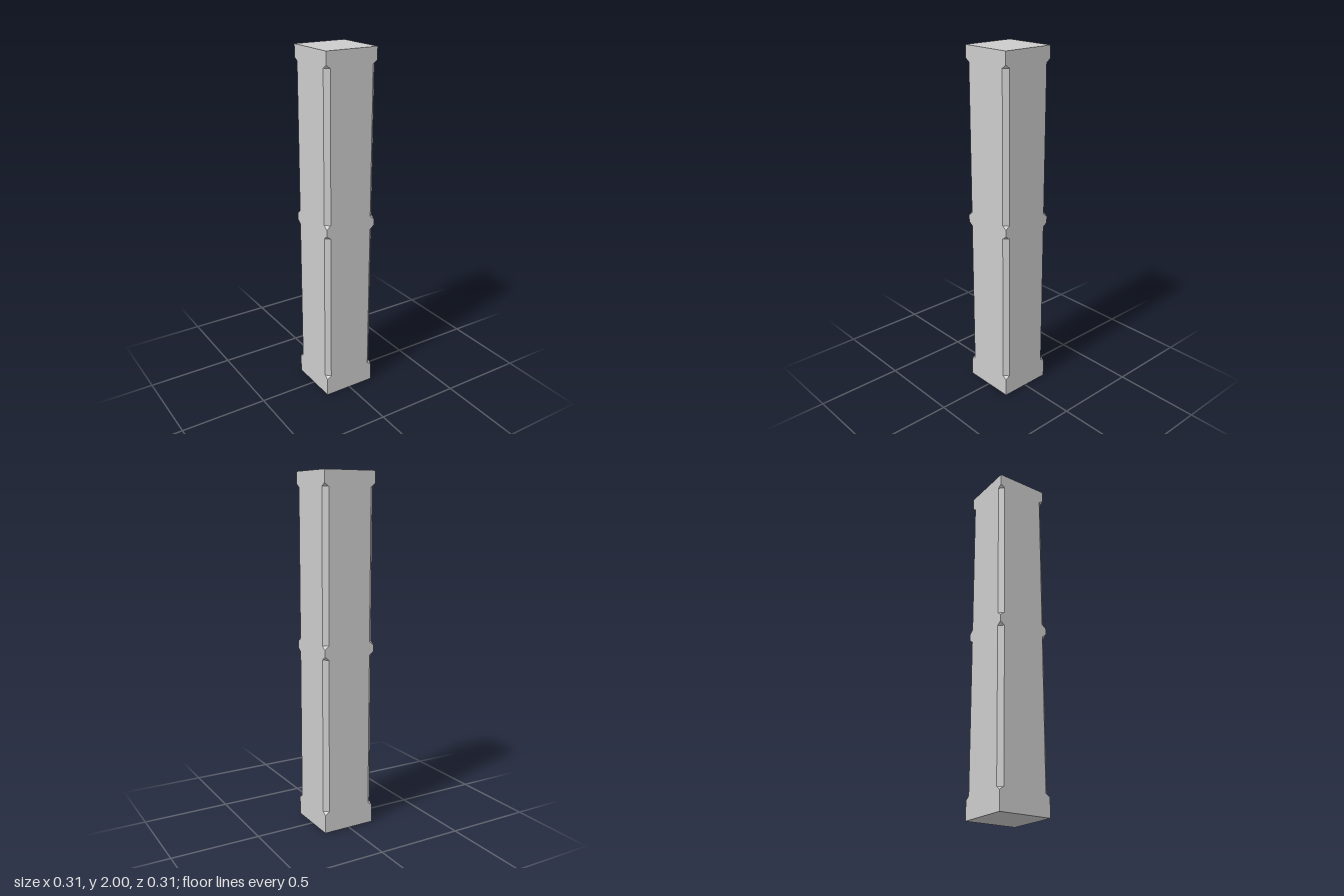
import * as THREE from 'three';

const HALF = 0.155;     // half width of the square post
const CHAMFER = 0.026;  // corner cut, measured along each face

// Height and corner cut of each cross-section, bottom to top
const SECTIONS = [
  [0, 0],
  [0.106, 0], [0.124, CHAMFER], [1.0, CHAMFER], [1.02, 0],    // lower stopped chamfer
  [1.058, 0], [1.078, CHAMFER], [1.914, CHAMFER], [1.932, 0], // upper stopped chamfer
  [2, 0],
];

// Eight-point ring: each corner is split in two by the cut
function ring([y, cut]) {
  const points = [];
  for (let k = 0; k < 4; k++) {
    for (const [px, pz] of [[HALF, HALF - cut], [HALF - cut, HALF]]) {
      let x = px, z = pz;
      for (let turn = 0; turn < k; turn++) [x, z] = [-z, x];
      points.push(new THREE.Vector3(x, y, z));
    }
  }
  return points;
}

function postGeometry() {
  const positions = [];
  const triangle = (a, b, c) => {
    if (a.equals(b) || b.equals(c) || c.equals(a)) return; // corner is uncut here
    for (const p of [a, b, c]) positions.push(p.x, p.y, p.z);
  };
  const rings = SECTIONS.map(ring);

  // Sides, chamfers and their sloping stops
  for (let s = 0; s < rings.length - 1; s++) {
    const low = rings[s], high = rings[s + 1];
    for (let i = 0; i < 8; i++) {
      const j = (i + 1) % 8;
      triangle(low[i], high[i], high[j]);
      triangle(low[i], high[j], low[j]);
    }
  }

  // Bottom and top caps
  const bottom = rings[0], top = rings[rings.length - 1];
  for (let i = 1; i < 7; i++) {
    triangle(bottom[0], bottom[i], bottom[i + 1]);
    triangle(top[0], top[i + 1], top[i]);
  }

  const geometry = new THREE.BufferGeometry();
  geometry.setAttribute('position', new THREE.Float32BufferAttribute(positions, 3));
  geometry.computeVertexNormals();
  return geometry;
}

export function createModel() {
  const group = new THREE.Group();
  group.name = 'chamferedPost';
  const material = new THREE.MeshStandardMaterial({ color: 0xcccccc, flatShading: true });
  const post = new THREE.Mesh(postGeometry(), material);
  post.name = 'post';
  group.add(post);
  return group;
}
